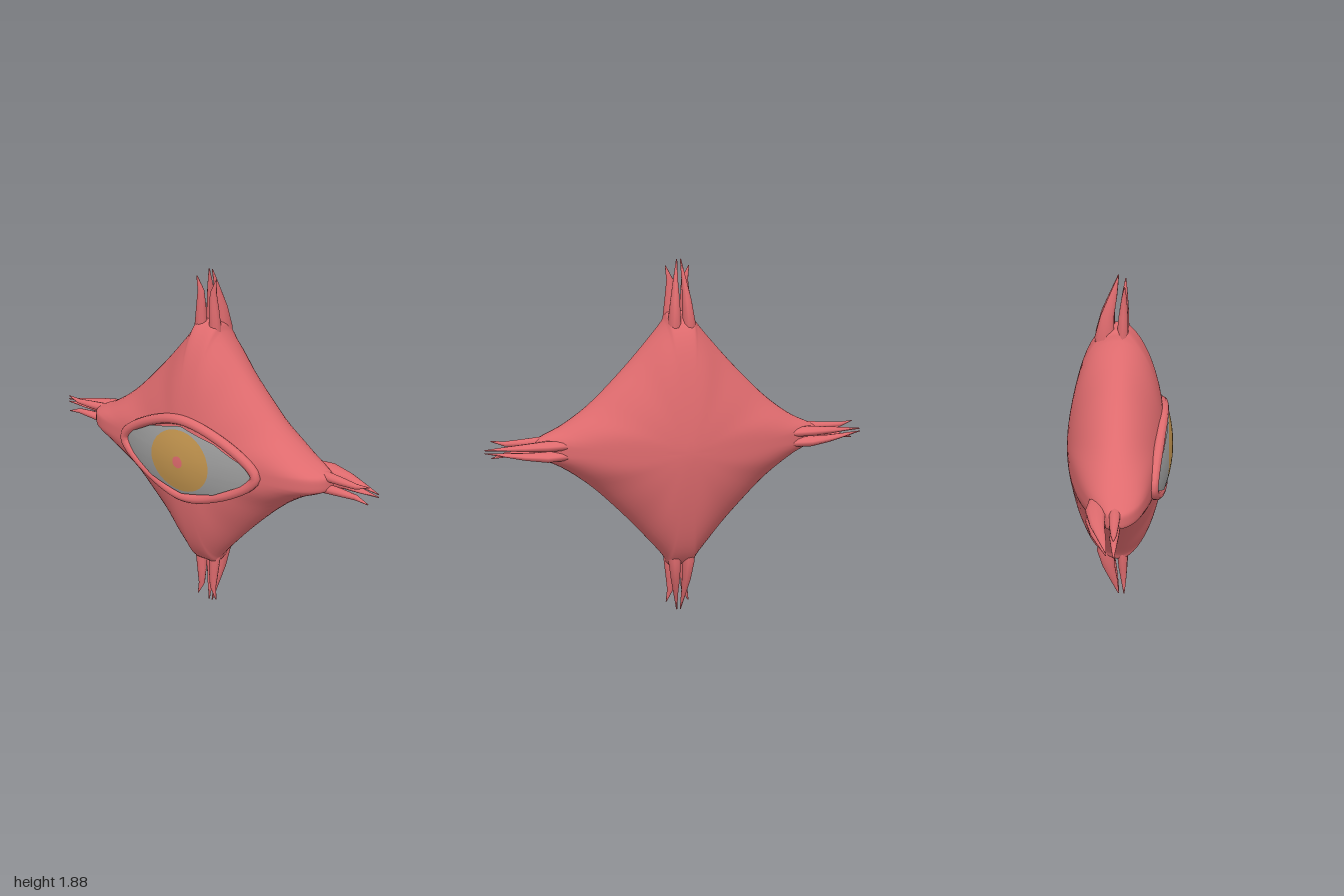
import * as THREE from 'three';
import { mergeVertices } from 'three/addons/utils/BufferGeometryUtils.js';

const V = (x, y, z) => new THREE.Vector3(x, y, z);

// Skin between successive closed rings of points, with smooth normals
function loft(rings) {
  const n = rings[0].length, pos = [], index = [];
  rings.forEach(r => r.forEach(p => pos.push(p.x, p.y, p.z)));
  for (let k = 0; k < rings.length - 1; k++) {
    for (let j = 0; j < n; j++) {
      const a = k * n + j, b = k * n + (j + 1) % n;
      index.push(a, a + n, b + n, a, b + n, b);
    }
  }
  let g = new THREE.BufferGeometry();
  g.setAttribute('position', new THREE.Float32BufferAttribute(pos, 3));
  g.setIndex(index);
  g = mergeVertices(g, 1e-5);
  g.computeVertexNormals();
  return g;
}

// Mirror a quarter outline (from +x axis to +y axis) into a full loop
function mirrorLoop(quarter) {
  const half = [...quarter, ...quarter.slice(0, -1).reverse().map(([x, y]) => [-x, y])];
  const full = [...half, ...half.slice(1, -1).reverse().map(([x, y]) => [x, -y])];
  return full.map(([x, y]) => V(x, y, 0));
}

// Depth of the front and back of the body
const frontZ = (x, y) => 0.235 - 0.33 * y * y - 0.16 * (Math.sqrt(x * x + 0.01) - 0.1);
const backZ = (x, y) => -0.275 + 0.36 * Math.pow(Math.hypot(x, 0.85 * y), 1.6);

// Pillow with four drawn-out corners
function bodyGeometry() {
  const outline = new THREE.CatmullRomCurve3(mirrorLoop([
    [0.75, 0], [0.745, 0.035], [0.71, 0.057], [0.62, 0.1], [0.48, 0.2], [0.32, 0.355],
    [0.18, 0.51], [0.082, 0.63], [0.06, 0.672], [0, 0.675],
  ]), true).getPoints(144).slice(0, -1);
  const N = 16, rings = [];
  for (let k = 0; k <= 2 * N; k++) {
    const t = k === 2 * N ? 0 : Math.sin(Math.PI * k / (2 * N));
    rings.push(outline.map(p => {
      const x = p.x * t, y = p.y * t;
      const q = Math.abs(p.x * p.x - p.y * p.y) / (p.x * p.x + p.y * p.y);
      const edge = Math.sqrt(Math.max(0, 1 - Math.pow(t, 4 + 6 * Math.pow(q, 6))));
      return V(x, y, edge * (k <= N ? frontZ(x, y) : backZ(x, y)));
    }));
  }
  return loft(rings);
}

// Claw sections: along, sideways, z, sideways radius, z radius
const frontClaw = [
  [0.5, 0.04, 0.01, 0.03, 0.03], [0.63, 0.045, 0.015, 0.034, 0.03],
  [0.74, 0.04, 0.018, 0.026, 0.024], [0.83, 0.038, 0.022, 0.018, 0.014],
  [0.9, 0.06, 0.025, 0.003, 0.003], [0.902, 0.06, 0.025, 0, 0],
];
const backClaw = [
  [0.5, 0.035, -0.07, 0.03, 0.04], [0.63, 0.037, -0.075, 0.034, 0.05],
  [0.74, 0.03, -0.06, 0.024, 0.035], [0.83, 0.022, -0.035, 0.013, 0.022],
  [0.936, 0.01, -0.008, 0.003, 0.003], [0.938, 0.01, -0.008, 0, 0],
];

function clawGeometry(sections, side, shift, narrow) {
  return loft(sections.map(([l, s, z, rs, rz]) =>
    Array.from({ length: 10 }, (_, j) => {
      const a = -j / 10 * Math.PI * 2;
      return V(l + shift, narrow * (side * s + rs * Math.cos(a)), z + rz * Math.sin(a));
    })));
}

export function createModel() {
  const model = new THREE.Group();
  model.name = 'eyeCreature';
  const mat = (name, color) => new THREE.MeshStandardMaterial({ name, color });
  const skin = mat('coralSkin', 0xdf6b6e);
  const white = mat('greyEyeWhite', 0x9c9c9c);
  const amber = mat('amberIris', 0xc2944e);

  const root = new THREE.Group();
  root.name = 'creature';
  root.position.y = 0.94;
  model.add(root);
  const add = (parent, name, geometry, material) => {
    const m = new THREE.Mesh(geometry, material);
    m.name = name;
    parent.add(m);
  };

  add(root, 'body', bodyGeometry(), skin);

  // Four arms, each split into two front and two back claws
  ['leftArm', 'topArm', 'rightArm', 'bottomArm'].forEach((name, i) => {
    const arm = new THREE.Group();
    arm.name = name;
    arm.rotation.z = i * Math.PI / 2;
    const shift = i % 2 ? 0 : 0.062, narrow = i % 2 ? 1 : 0.75;
    for (const side of [-1, 1]) {
      add(arm, 'frontClaw', clawGeometry(frontClaw, side, shift, narrow), skin);
      add(arm, 'backClaw', clawGeometry(backClaw, side, shift, narrow), skin);
    }
    root.add(arm);
  });

  // Eye: bulging almond divided into white, iris and pupil
  const corners = mirrorLoop([[0.405, 0], [0.375, 0.045], [0.2, 0.14], [0, 0.187]]);
  const almond = [];
  corners.forEach((p, i) => {
    const q = corners[(i + 1) % corners.length];
    for (let k = 0; k < 4; k++) almond.push(p.clone().lerp(q, k / 4));
  });
  const onEye = (x, y) => V(x, y, 0.275 - 0.9 * y * y - 0.53 * x * x);
  const oval = (rx, ry) => almond.map(p => {
    const a = Math.atan2(p.y / 0.187, p.x / 0.405);
    return V(rx * Math.cos(a), ry * Math.sin(a), 0);
  });
  const eyeBand = (inner, outer) => loft([0, 0.25, 0.5, 0.75, 1].map(t =>
    inner.map((p, j) => {
      const q = p.clone().lerp(outer[j], t);
      return onEye(q.x, q.y);
    })));
  const iris = oval(0.18, 0.166), pupil = oval(0.03, 0.032);
  add(root, 'eyeWhite', eyeBand(iris, almond), white);
  add(root, 'iris', eyeBand(pupil, iris), amber);
  add(root, 'pupil', eyeBand(oval(0, 0), pupil), skin);

  // Raised eyelid rim
  const lidPath = new THREE.CatmullRomCurve3(corners.map(p => {
    const x = p.x * 1.035, y = p.y * 1.13;
    return V(x, y, frontZ(x, y) + 0.004);
  }), true);
  add(root, 'eyelid', new THREE.TubeGeometry(lidPath, 72, 0.026, 10, true), skin);

  return model;
}
